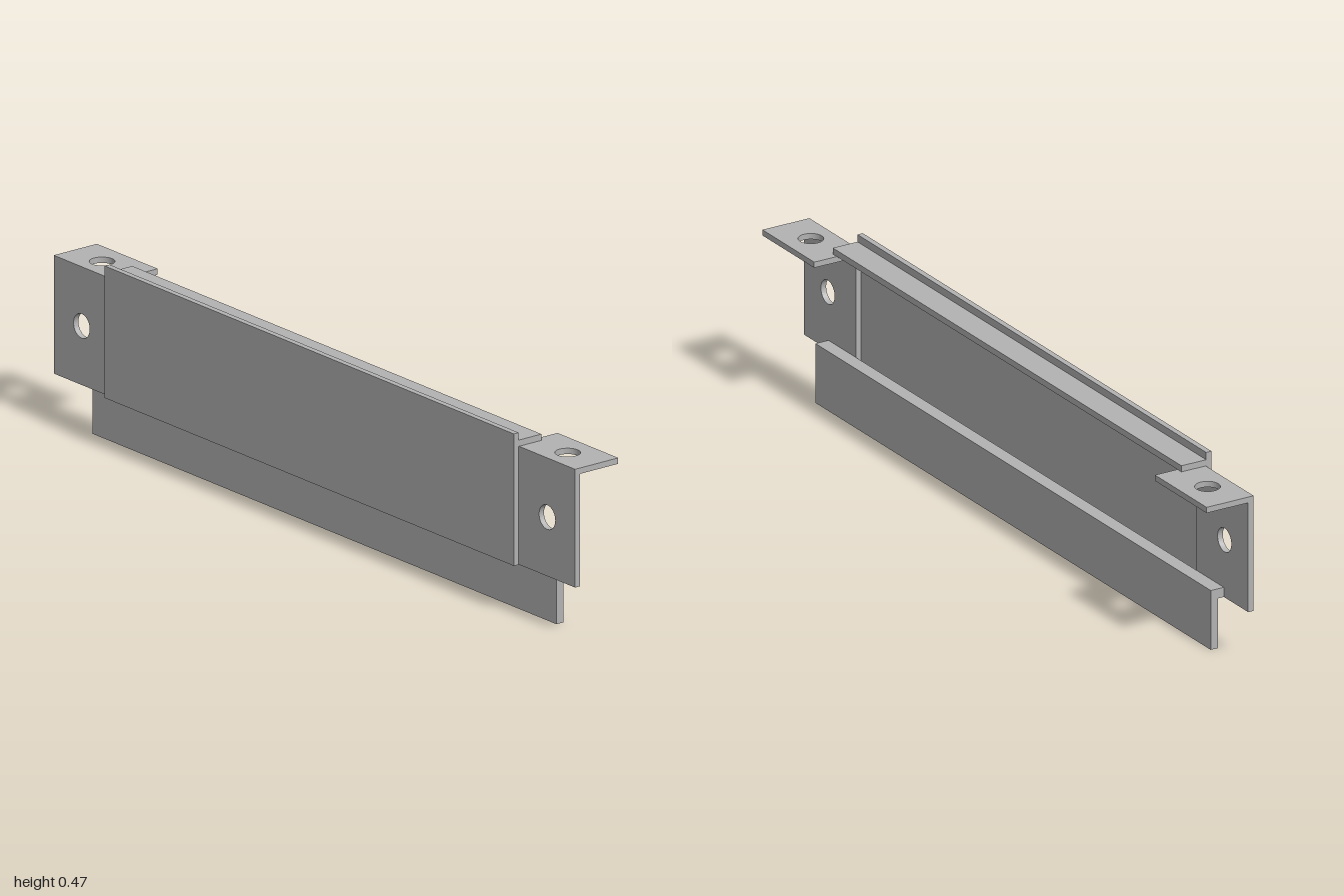
import * as THREE from 'three';

const steel = new THREE.MeshStandardMaterial({ color: 0xb2b2b2 });
steel.name = 'steel grey';

// Box given by its extents in x and y, centred on z
function bar(name, x0, x1, y0, y1, length) {
  const mesh = new THREE.Mesh(new THREE.BoxGeometry(x1 - x0, y1 - y0, length), steel);
  mesh.position.set((x0 + x1) / 2, (y0 + y1) / 2, 0);
  mesh.name = name;
  return mesh;
}

// Flat plate with one round hole, extruded along +z
function drilledPlate(u0, u1, v0, v1, holeU, holeV, radius, thickness) {
  const shape = new THREE.Shape();
  shape.moveTo(u0, v0).lineTo(u1, v0).lineTo(u1, v1).lineTo(u0, v1).closePath();
  shape.holes.push(new THREE.Path().absarc(holeU, holeV, radius, 0, Math.PI * 2, true));
  return new THREE.ExtrudeGeometry(shape, { depth: thickness, bevelEnabled: false, curveSegments: 20 });
}

// Angle bracket at one end: upright web and horizontal flange, each with a bolt hole
function endBracket(side) {
  const bracket = new THREE.Group();
  bracket.name = side > 0 ? 'frontBracket' : 'backBracket';
  const zIn = 0.767, zOut = 1, zHole = 0.893;
  const zMin = side > 0 ? zIn : -zOut;
  const zMax = side > 0 ? zOut : -zIn;

  const web = drilledPlate(-zMax, -zMin, 0.13, 0.416, -side * zHole, 0.28, 0.031, 0.015);
  web.rotateY(Math.PI / 2).translate(-0.059, 0, 0);
  const webMesh = new THREE.Mesh(web, steel);
  webMesh.name = 'bracketWeb';

  const flange = drilledPlate(-0.059, 0.074, zMin, zMax, 0.004, side * zHole, 0.031, 0.015);
  flange.rotateX(Math.PI / 2).translate(0, 0.431, 0);
  const flangeMesh = new THREE.Mesh(flange, steel);
  flangeMesh.name = 'bracketFlange';

  bracket.add(webMesh, flangeMesh);
  return bracket;
}

export function createModel() {
  const model = new THREE.Group();
  model.name = 'bracketedRail';

  // Tall back plate with a lip resting on the brackets
  model.add(bar('backPlate', -0.075, -0.06, 0.13, 0.466, 1.57));
  model.add(bar('topLip', -0.06, 0.01, 0.431, 0.447, 1.57));

  // Lower rail: short ledge and hanging skirt
  model.add(bar('railLedge', -0.044, -0.028, 0.13, 0.155, 1.78));
  model.add(bar('railSkirt', -0.028, -0.007, 0, 0.155, 1.78));

  for (const side of [1, -1]) model.add(endBracket(side));
  return model;
}
